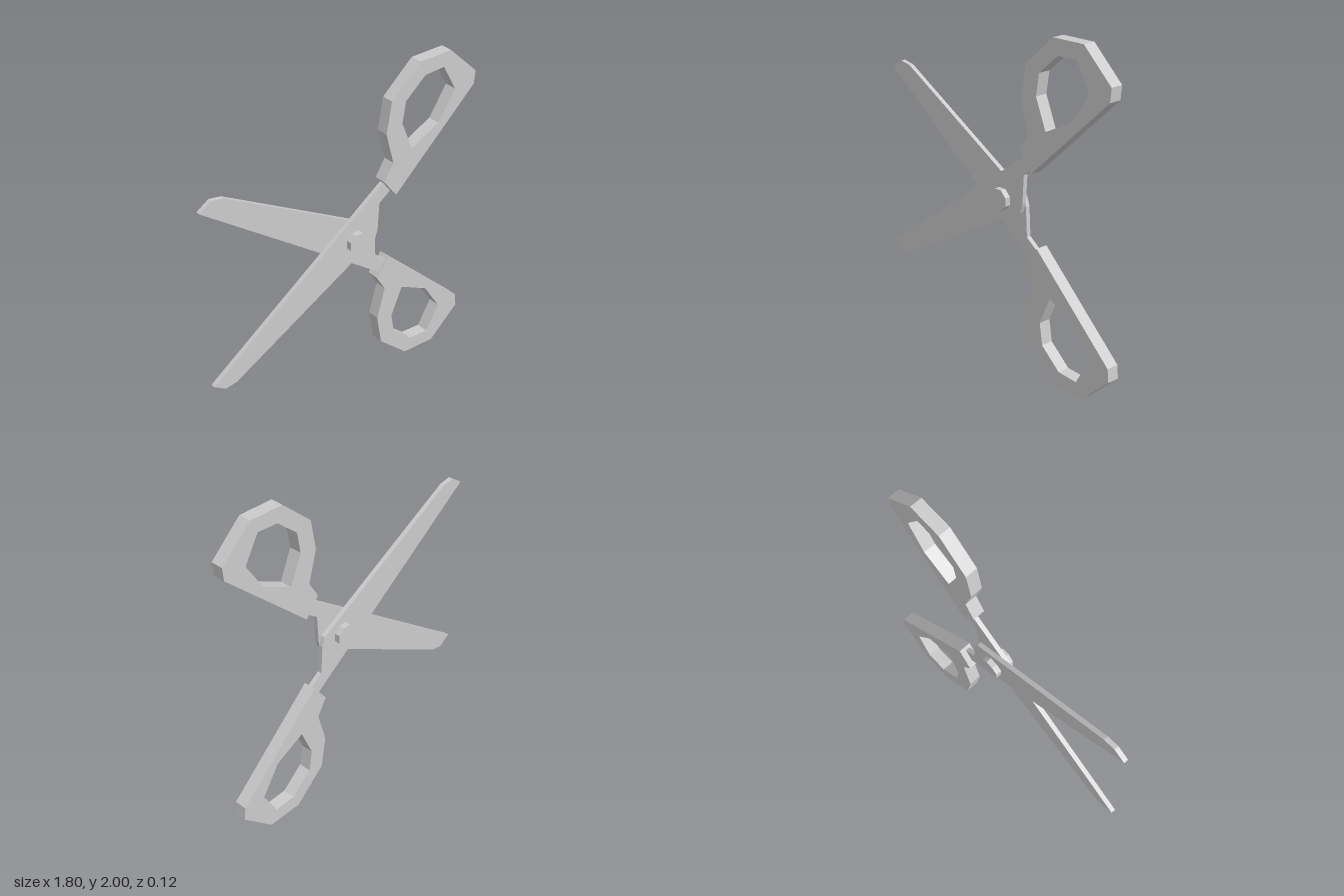
import * as THREE from 'three';

const material = new THREE.MeshStandardMaterial({ color: 0xcccccc, flatShading: true });

const toPoints = (list) => list.map(([x, y]) => new THREE.Vector2(x, y));

// Flat plate from an outline (and optional hole) spanning z0..z1
function plate(name, outline, z0, z1, hole) {
  const shape = new THREE.Shape(toPoints(outline));
  if (hole) shape.holes.push(new THREE.Path(toPoints(hole)));
  const geometry = new THREE.ExtrudeGeometry(shape, { depth: z1 - z0, bevelEnabled: false });
  geometry.translate(0, -1, z0); // height measured from the pivot
  const mesh = new THREE.Mesh(geometry, material);
  mesh.name = name;
  return mesh;
}

// One half: blade with its tang, and the finger loop
function createHalf(name) {
  const half = new THREE.Group();
  half.name = name;
  half.add(plate('blade', [
    [-0.9, 0.45], [-0.825, 0.4], [-0.75, 0.413], [0.22, 0.955], [0.24, 1.01],
    [0.25, 1.185], [0.36, 1.265], [0.32, 1.34],
  ], 0, 0.027));
  half.add(plate('handle', [
    [0.49, 1.995], [0.295, 1.82], [0.262, 1.63], [0.315, 1.437], [0.253, 1.335],
    [0.34, 1.222], [0.892, 1.74], [0.9, 1.82], [0.706, 2.0],
  ], -0.013, 0.062, [
    [0.527, 1.905], [0.66, 1.913], [0.75, 1.755], [0.637, 1.58],
    [0.447, 1.484], [0.373, 1.66], [0.394, 1.79],
  ]));
  half.position.y = 1;
  return half;
}

export function createModel() {
  const model = new THREE.Group();
  model.name = 'scissors';

  // The back half is the front half turned over about the x axis
  const frontHalf = createHalf('frontHalf');
  const backHalf = createHalf('backHalf');
  backHalf.rotation.x = Math.PI;

  // Eight-sided pivot pin through both blades
  const pinGeometry = new THREE.CylinderGeometry(0.065, 0.065, 0.122, 8);
  pinGeometry.rotateY(Math.PI / 8).rotateX(Math.PI / 2);
  const pin = new THREE.Mesh(pinGeometry, material);
  pin.name = 'pivotPin';
  pin.position.set(0.08, 1.003, 0);

  model.add(frontHalf, backHalf, pin);
  return model;
}
